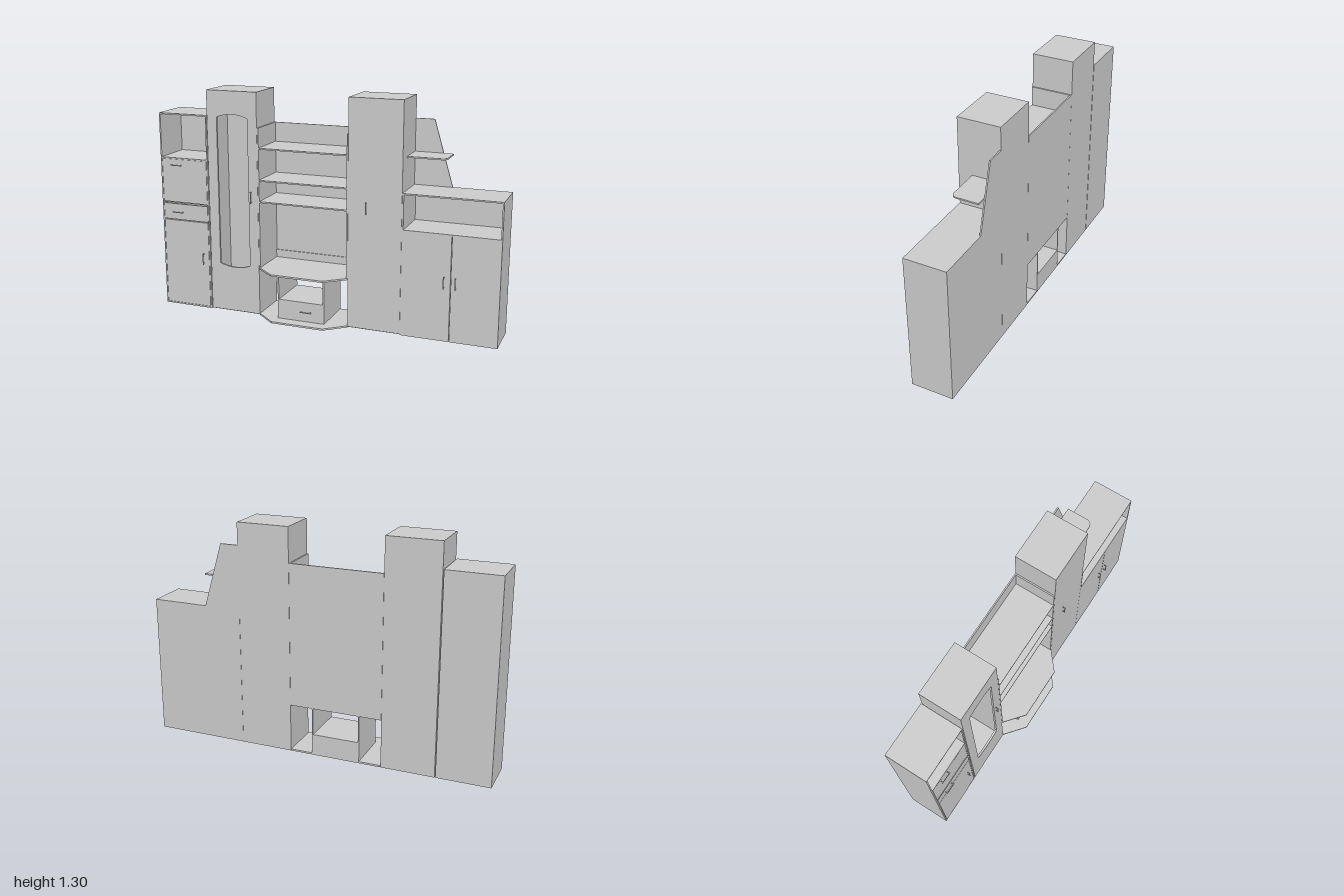
import * as THREE from 'three';

const BACK = -0.168, FRONT = 0.073, T = 0.008, DOOR = 0.012;

export function createModel() {
  const model = new THREE.Group();
  const mat = new THREE.MeshStandardMaterial({ color: 0xcccccc, flatShading: true });

  const add = (name, geo, parent = model) => {
    const mesh = new THREE.Mesh(geo, mat);
    mesh.name = name;
    parent.add(mesh);
    return mesh;
  };
  // Board given by its bounds
  const board = (name, x0, x1, y0, y1, z0, z1, parent) =>
    add(name, new THREE.BoxGeometry(x1 - x0, y1 - y0, z1 - z0), parent)
      .position.set((x0 + x1) / 2, (y0 + y1) / 2, (z0 + z1) / 2);
  const group = (name) => {
    const g = new THREE.Group();
    g.name = name;
    model.add(g);
    return g;
  };
  const polygon = (pts) => new THREE.Shape(pts.map(([x, y]) => new THREE.Vector2(x, y)));
  const extrude = (shape, depth) =>
    new THREE.ExtrudeGeometry(shape, { depth, bevelEnabled: false, curveSegments: 12 });
  // Flat plate drawn as (x, z), resting at height y
  const plate = (name, shape, y, thick, parent) => {
    const geo = extrude(shape, thick);
    geo.rotateX(Math.PI / 2);
    add(name, geo, parent).position.y = y + thick;
  };

  // Open-fronted carcass with a thin back
  const carcass = (name, x0, x1, h, front) => {
    const g = group(name);
    board('sideRight', x0, x0 + T, 0, h, BACK, front, g);
    board('sideLeft', x1 - T, x1, 0, h, BACK, front, g);
    board('top', x0 + T, x1 - T, h - T, h, BACK, front, g);
    board('bottom', x0 + T, x1 - T, 0, T, BACK, front, g);
    board('back', x0 + T, x1 - T, T, h - T, BACK, BACK + T, g);
    return g;
  };

  // Bar handle on two short posts
  const handle = (x, y, vertical, z = FRONT) => {
    const g = group('handle');
    const w = 0.0022, half = 0.034;
    board('bar', -half, half, -w, w, 0.011, 0.015, g);
    for (const s of [-1, 1]) {
      const c = s * (half - 0.006);
      board('post', c - w, c + w, -w, w, 0, 0.012, g);
    }
    g.position.set(x, y, z);
    if (vertical) g.rotation.z = Math.PI / 2;
  };

  // Low cabinet at the right end: niche, flap, drawer and door
  const low = carcass('endCabinet', -1, -0.695, 1.15, FRONT);
  for (const y of [0.885, 0.622, 0.518])
    board('shelf', -0.992, -0.703, y, y + T, BACK + T, FRONT - DOOR - (y < 0.8 ? 0.002 : -DOOR), low);
  for (const [name, y0, y1] of [['door', 0.01, 0.52], ['drawerFront', 0.525, 0.619], ['flap', 0.63, 0.884]])
    board(name, -0.99, -0.705, y0, y1, FRONT - DOOR, FRONT, low);
  handle(-0.895, 0.85, false);
  handle(-0.895, 0.57, false);
  handle(-0.738, 0.303, true);

  // Wardrobe with an arched opening in its door
  const robe = carcass('wardrobe', -0.69, -0.383, 1.295, FRONT - DOOR);
  const door = polygon([[-0.69, 0.006], [-0.383, 0.006], [-0.383, 1.295], [-0.69, 1.295]]);
  const hole = new THREE.Path();
  hole.moveTo(-0.63, 0.29);
  hole.lineTo(-0.63, 1.145);
  hole.quadraticCurveTo(-0.535, 1.182, -0.44, 1.145);
  hole.lineTo(-0.44, 0.29);
  hole.quadraticCurveTo(-0.535, 0.255, -0.63, 0.29);
  door.holes.push(hole);
  add('archedDoor', extrude(door, DOOR), robe).position.z = FRONT - DOOR;
  handle(-0.423, 0.7, true);

  // Plain tall cabinet
  const tall = carcass('tallCabinet', 0.156, 0.46, 1.295, FRONT - DOOR);
  board('door', 0.156, 0.46, 0.006, 1.295, FRONT - DOOR, FRONT, tall);
  handle(0.26, 0.7, true);

  // Sideboard: open niche over a pair of doors
  const side = carcass('sideboard', 0.461, 1, 0.8, FRONT);
  board('nicheFloor', 0.469, 0.992, 0.592, 0.6, BACK + T, FRONT, side);
  board('door', 0.469, 0.7345, 0.008, 0.592, FRONT - DOOR, FRONT, side);
  board('door', 0.7375, 0.992, 0.008, 0.592, FRONT - DOOR, FRONT, side);
  handle(0.699, 0.335, true);
  handle(0.763, 0.335, true);

  // Slanted back panel with a corner shelf above the sideboard
  const corner = group('cornerShelf');
  add('slantedPanel', extrude(polygon([[0.46, 0.8], [0.675, 0.8], [0.565, 1.167], [0.46, 1.167]]), T), corner)
    .position.z = BACK;
  const leaf = polygon([[0.46, BACK + T], [0.675, BACK + T], [0.675, -0.035]]);
  leaf.quadraticCurveTo(0.672, -0.007, 0.64, -0.005);
  leaf.lineTo(0.46, -0.005);
  plate('shelf', leaf, 0.977, T, corner);

  // Shelving bay between the tall units
  const bay = group('shelvingBay');
  board('sideRight', -0.382, -0.374, 0.28, 1.097, BACK, FRONT, bay);
  board('sideLeft', 0.147, 0.155, 0.28, 1.097, BACK, FRONT, bay);
  board('back', -0.374, 0.147, 0.28, 1.097, BACK, BACK + T, bay);
  board('rearStrip', -0.374, 0.147, 0.29, 0.335, BACK + T, BACK + 0.014, bay);
  for (const y of [0.977, 0.795, 0.672])
    board('shelf', -0.374, 0.147, y, y + T, BACK + T, FRONT, bay);

  // Desk top and base plate with a tapered front
  const taper = () => polygon([
    [-0.382, BACK], [0.155, BACK], [0.155, FRONT], [0.042, 0.168], [-0.268, 0.168], [-0.382, FRONT],
  ]);
  plate('deskTop', taper(), 0.28, 0.01, bay);
  plate('basePlate', taper(), 0, 0.01, bay);

  // Drawer pedestal under the desk, open above
  const pedestal = group('drawerPedestal');
  board('sideRight', -0.256, -0.249, 0.01, 0.28, BACK, 0.1, pedestal);
  board('sideLeft', 0.019, 0.026, 0.01, 0.28, BACK, 0.1, pedestal);
  board('shelf', -0.249, 0.019, 0.116, 0.124, BACK, 0.1, pedestal);
  board('drawer', -0.249, 0.019, 0.01, 0.116, BACK, 0.1, pedestal);
  handle(-0.083, 0.067, false, 0.1);

  return model;
}
